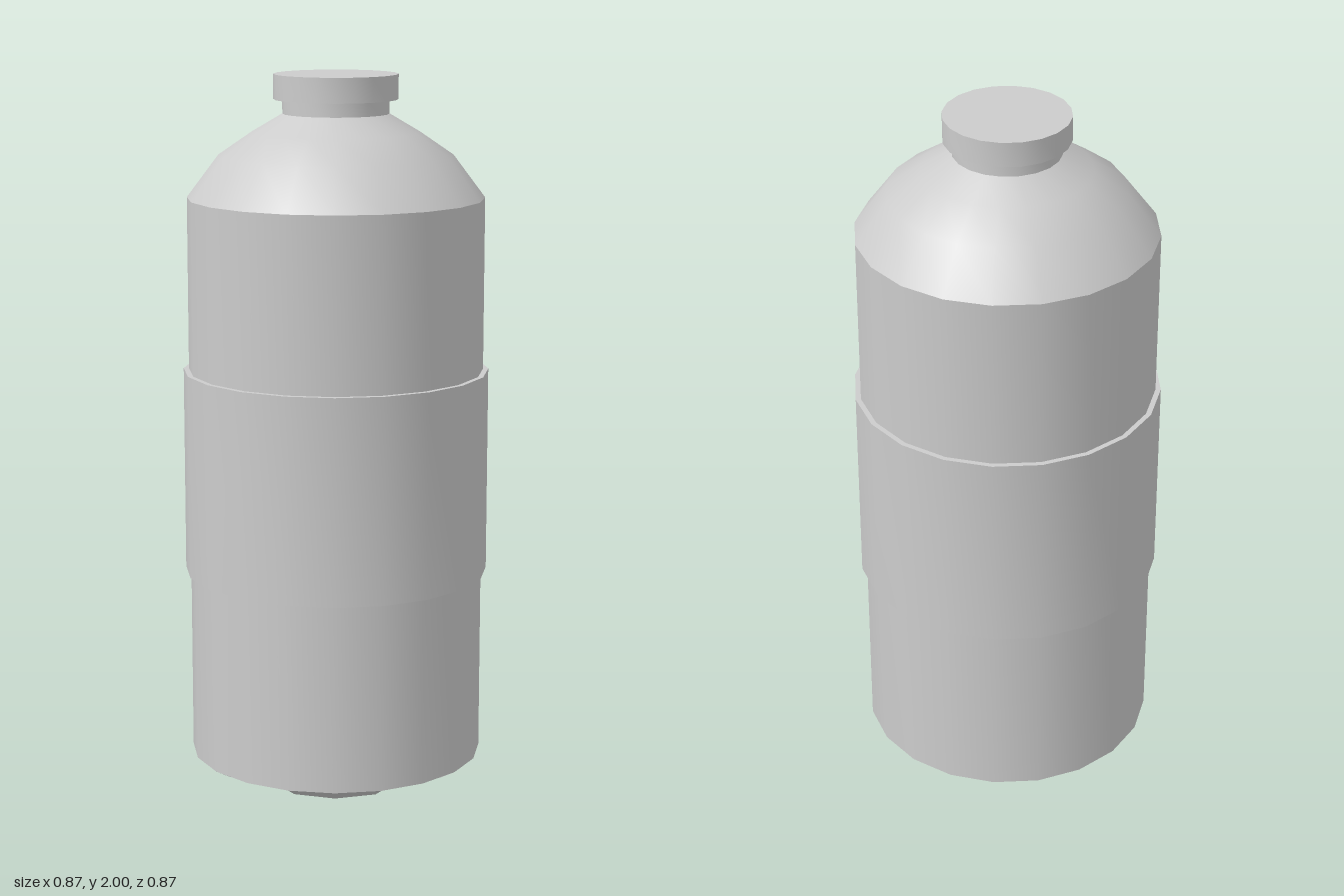
import * as THREE from 'three';
import { toCreasedNormals } from 'three/addons/utils/BufferGeometryUtils.js';

const SIDES = 20;

// Turned part from [radius, height] pairs, listed bottom to top
function turned(name, profile) {
  const points = profile.map(([r, y]) => new THREE.Vector2(r, y));
  const geometry = toCreasedNormals(new THREE.LatheGeometry(points, SIDES), 0.5);
  const mesh = new THREE.Mesh(geometry, new THREE.MeshStandardMaterial({ color: 0xcccccc }));
  mesh.name = name;
  return mesh;
}

// Underside of five feet alternating with five raised valleys, with upright walls between
function footedBase() {
  const radii = [0, 0.1, 0.2, 0.3, 0.37, 0.42];
  const valley = [0.065, 0.06, 0.055, 0.05, 0.045, 0.04];
  const footEdge = [0.065, 0.045, 0.026, 0.012, 0.012, 0.04];
  const footMiddle = [0.065, 0.035, 0.014, 0, 0.006, 0.04];
  const positions = [];
  const ray = (step, heights) => {
    const a = (step / SIDES) * Math.PI * 2;
    return radii.map((r, i) => [r * Math.cos(a), heights[i], r * Math.sin(a)]);
  };
  const strip = (a, b) => {
    for (let i = 0; i < radii.length - 1; i++) {
      positions.push(...a[i], ...a[i + 1], ...b[i + 1]);
      if (i > 0) positions.push(...a[i], ...b[i + 1], ...b[i]);
    }
  };
  for (let s = 0; s < SIDES; s += 4) {
    // valley
    strip(ray(s, valley), ray(s + 1, valley));
    strip(ray(s + 1, valley), ray(s + 2, valley));
    // foot
    strip(ray(s + 2, footEdge), ray(s + 3, footMiddle));
    strip(ray(s + 3, footMiddle), ray(s + 4, footEdge));
    // side walls of the foot
    strip(ray(s + 2, valley), ray(s + 2, footEdge));
    strip(ray(s + 4, footEdge), ray(s + 4, valley));
  }
  const geometry = new THREE.BufferGeometry();
  geometry.setAttribute('position', new THREE.Float32BufferAttribute(positions, 3));
  const mesh = new THREE.Mesh(
    toCreasedNormals(geometry, 0.4),
    new THREE.MeshStandardMaterial({ color: 0xcccccc, side: THREE.DoubleSide })
  );
  mesh.name = 'footedBase';
  return mesh;
}

export function createModel() {
  const bottle = new THREE.Group();
  bottle.name = 'bottle';
  bottle.add(
    footedBase(),
    turned('body', [[0.42, 0.04], [0.42, 1.655]]),
    turned('shoulder', [[0.42, 1.655], [0.33, 1.775], [0.235, 1.84], [0.15, 1.89]]),
    turned('neck', [[0.15, 1.89], [0.15, 1.94]]),
    // wrap-around sleeve, closed against the body
    turned('labelSleeve', [[0.42, 0.58], [0.435, 0.58], [0.435, 1.165], [0.42, 1.165]]),
    turned('cap', [[0, 1.93], [0.175, 1.93], [0.175, 2], [0, 2]])
  );
  return bottle;
}
